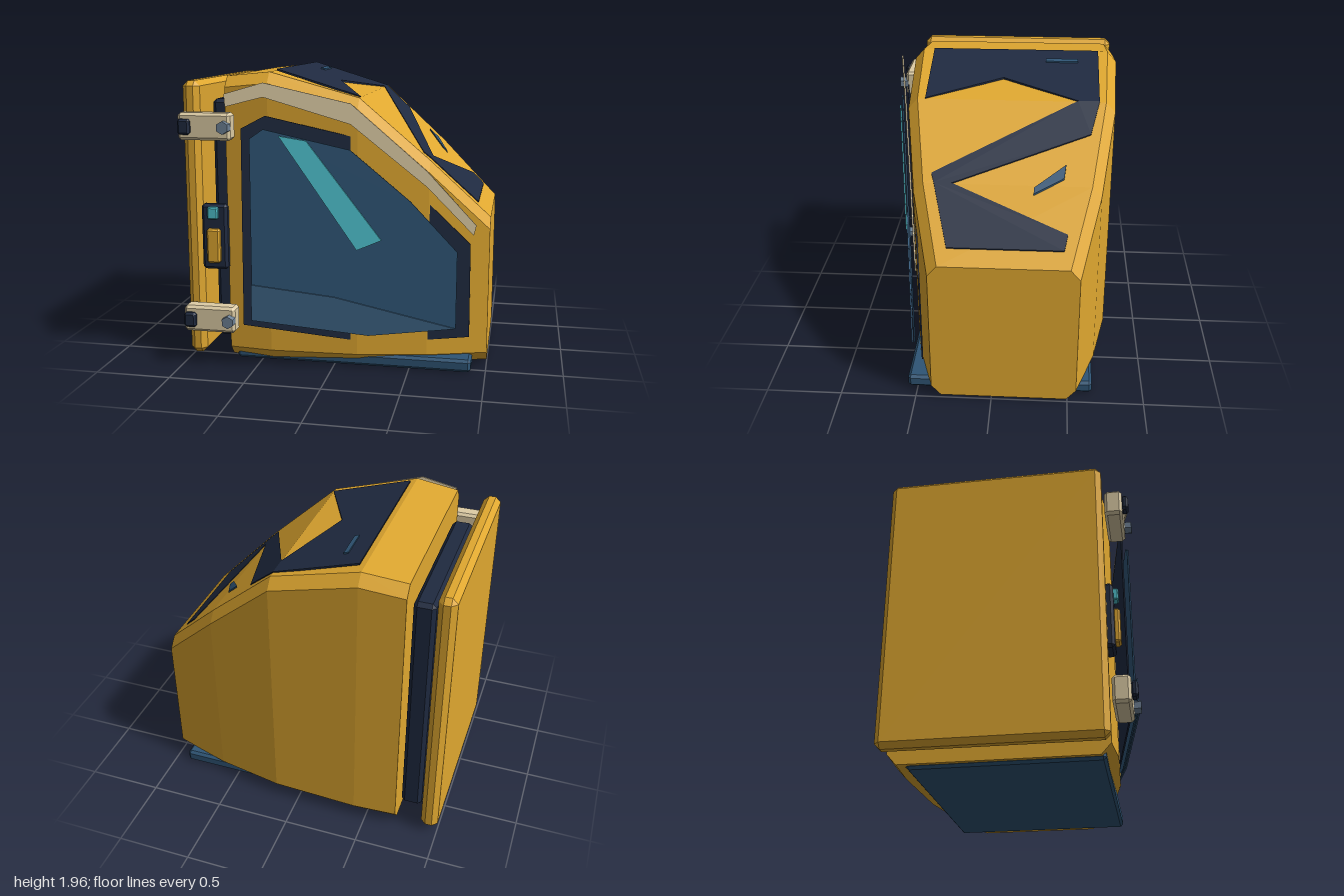
import * as THREE from 'three';
import { ConvexGeometry } from 'three/addons/geometries/ConvexGeometry.js';

const mat = (color) => new THREE.MeshStandardMaterial({ color, flatShading: true });
const yellow = mat(0xe0a830), navy = mat(0x1f2a40), blue = mat(0x2f5575), paleBlue = mat(0x3a5e7e);
const cyan = mat(0x4fc3cf), cream = mat(0xdecda6), steel = mat(0x6f8296);

// Box given by its limits, with every edge cut at 45 degrees
function chamferBox([x0, x1], [y0, y1], [z0, z1], c) {
  const half = [(x1 - x0) / 2, (y1 - y0) / 2, (z1 - z0) / 2];
  const points = [];
  for (const sx of [-1, 1]) for (const sy of [-1, 1]) for (const sz of [-1, 1]) {
    for (let axis = 0; axis < 3; axis++) {
      const p = half.map((h, i) => (i === axis ? h : h - c));
      points.push(new THREE.Vector3(sx * p[0], sy * p[1], sz * p[2]));
    }
  }
  return new ConvexGeometry(points).translate((x0 + x1) / 2, (y0 + y1) / 2, (z0 + z1) / 2);
}

function extrude(points, depth) {
  const shape = new THREE.Shape(points.map(([x, y]) => new THREE.Vector2(x, y)));
  return new THREE.ExtrudeGeometry(shape, { depth, bevelEnabled: false });
}

// Thin plate drawn in x, y and slanted backwards towards +x
function sidePlate(points, front, slope = 0.172, depth = 0.01) {
  const g = extrude(points, depth), p = g.attributes.position;
  for (let i = 0; i < p.count; i++) p.setZ(i, p.getZ(i) - depth + front - slope * p.getX(i));
  g.computeVertexNormals();
  return g;
}

// Height of the windscreen surface along x
const screenProfile = [[-0.39, 1.955], [0.16, 1.787], [0.61, 1.387], [0.92, 1.085]];
function screenHeight(x) {
  let i = 0;
  while (i < screenProfile.length - 2 && x > screenProfile[i + 1][0] + 1e-4) i++;
  const [a, b] = [screenProfile[i], screenProfile[i + 1]];
  return a[1] + ((b[1] - a[1]) * (x - a[0])) / (b[0] - a[0]);
}

// Thin plate drawn in x, z and draped over the roof
function roofPlate(points, lift = 0, depth = 0.012) {
  const g = extrude(points.map(([x, z]) => [x, -z]), depth).rotateX(-Math.PI / 2);
  const p = g.attributes.position;
  for (let i = 0; i < p.count; i++) p.setY(i, p.getY(i) - depth + lift + screenHeight(p.getX(i)));
  g.computeVertexNormals();
  return g;
}

// Faceted shell lofted through octagonal sections: x, top, back z, front z
function shellGeometry() {
  const sections = [
    [-0.71, 1.91, -0.775, 0.6], [-0.42, 1.94, -0.79, 0.625], [0.16, 1.78, -0.765, 0.598],
    [0.61, 1.38, -0.68, 0.516], [1, 1, -0.555, 0.395],
  ];
  const bottom = 0.02, h = 0.07, c = 0.062, pos = [], index = [];
  for (const [x, top, back, front] of sections) {
    const ring = [
      [bottom, front - c], [bottom, back + c], [bottom + h, back], [top - h, back],
      [top, back + c], [top, front - c], [top - h, front], [bottom + h, front],
    ];
    for (const [y, z] of ring) pos.push(x, y, z);
  }
  const last = (sections.length - 1) * 8;
  for (let s = 0; s < last; s += 8) {
    for (let j = 0; j < 8; j++) {
      const a = s + j, b = s + ((j + 1) % 8);
      index.push(a, b, b + 8, a, b + 8, a + 8);
    }
  }
  for (let j = 1; j < 7; j++) index.push(last, last + j, last + j + 1, 0, j + 1, j);
  const g = new THREE.BufferGeometry();
  g.setAttribute('position', new THREE.Float32BufferAttribute(pos, 3));
  g.setIndex(index);
  g.computeVertexNormals();
  return g;
}

export function createModel() {
  const model = new THREE.Group();
  model.name = 'cockpitPod';
  const add = (name, geometry, material, parent = model) => {
    const mesh = new THREE.Mesh(geometry, material);
    mesh.name = name;
    parent.add(mesh);
    return mesh;
  };

  // Main hull, floor and rear bulkhead
  add('shell', shellGeometry(), yellow);
  add('floorPlate', chamferBox([-0.68, 0.905], [0, 0.085], [-0.663, 0.565], 0.018), blue);
  add('gasket', chamferBox([-0.86, -0.72], [0.1, 1.75], [-0.66, 0.42], 0.025), navy);
  add('rearPanel', chamferBox([-1, -0.885], [0.03, 1.88], [-0.77, 0.615], 0.035), yellow);

  // Windscreen frame, with two openings that leave the shell showing
  const screen = new THREE.Group();
  screen.name = 'windscreen';
  model.add(screen);
  [
    [[-0.39, -0.66], [0.16, -0.66], [0.16, -0.52], [-0.07, -0.02], [-0.39, -0.02]],
    [[-0.39, -0.02], [-0.07, -0.02], [0.16, 0.485], [-0.39, 0.485]],
    [[0.16, -0.66], [0.34, -0.605], [0.61, 0.27], [0.61, 0.385], [0.56, 0.405], [0.16, -0.52]],
    [[0.61, 0.27], [0.84, -0.47], [0.915, -0.45], [0.915, 0.28], [0.61, 0.385]],
  ].forEach((points) => add('windscreenPanel', roofPlate(points), navy, screen));
  add('roofGlint', roofPlate([[-0.275, -0.52], [-0.245, -0.52], [-0.245, -0.3], [-0.275, -0.3]], 0.01), blue, screen);
  add('screenGlint', roofPlate([[0.51, -0.45], [0.58, -0.44], [0.66, -0.25], [0.63, -0.25]], 0.01), blue, screen);

  // Side window: seal, glass, lower band, highlight and trim above
  const side = new THREE.Group();
  side.name = 'sideWindow';
  model.add(side);
  add('windowSeal', sidePlate([
    [-0.58, 0.29], [0.12, 0.19], [0.62, 0.195], [0.885, 0.215], [0.88, 0.84],
    [0.62, 1.1], [0.12, 1.54], [-0.42, 1.67], [-0.57, 1.59],
  ], 0.62), navy, side);
  add('windowGlass', sidePlate([
    [-0.51, 0.34], [0.24, 0.24], [0.8, 0.29], [0.8, 0.8], [0.5, 1.13],
    [0.12, 1.46], [-0.42, 1.59], [-0.505, 1.53],
  ], 0.667), blue, side);
  add('windowLowerBand', sidePlate([
    [-0.51, 0.34], [0.24, 0.24], [0.8, 0.29], [0.02, 0.5], [-0.51, 0.58],
  ], 0.682), paleBlue, side);
  add('windowHighlight', sidePlate([[-0.32, 1.55], [0.165, 0.815], [0.32, 0.88], [-0.15, 1.52]], 0.685), cyan, side);
  add('windowTrim', sidePlate([
    [-0.655, 1.73], [-0.42, 1.79], [0.12, 1.62], [0.6, 1.22], [0.9, 0.905],
    [0.915, 0.97], [0.6, 1.32], [0.12, 1.75], [-0.42, 1.88], [-0.66, 1.81],
  ], 0.648, 0.183), cream, side);

  // Hinges with a knob and a hexagonal bolt
  for (const y of [0.318, 1.598]) {
    const hinge = new THREE.Group();
    hinge.name = 'hinge';
    hinge.position.y = y;
    model.add(hinge);
    add('hingeBlock', chamferBox([-0.985, -0.635], [-0.088, 0.088], [0.63, 0.742], 0.018), cream, hinge);
    add('hingeKnob', chamferBox([-0.975, -0.893], [-0.05, 0.05], [0.735, 0.78], 0.014), navy, hinge);
    const bolt = add('hingeBolt', new THREE.CylinderGeometry(0.042, 0.042, 0.065, 6), steel, hinge);
    bolt.rotation.x = Math.PI / 2;
    bolt.position.set(-0.672, 0, 0.754);
  }

  // Door latch
  const latch = new THREE.Group();
  latch.name = 'latch';
  model.add(latch);
  add('latchPlate', chamferBox([-0.875, -0.7], [0.64, 1.08], [0.59, 0.655], 0.018), navy, latch);
  add('latchHandle', chamferBox([-0.833, -0.742], [0.69, 0.92], [0.645, 0.69], 0.012), yellow, latch);
  add('latchLight', chamferBox([-0.825, -0.755], [0.985, 1.065], [0.645, 0.685], 0.008), cyan, latch);

  return model;
}
